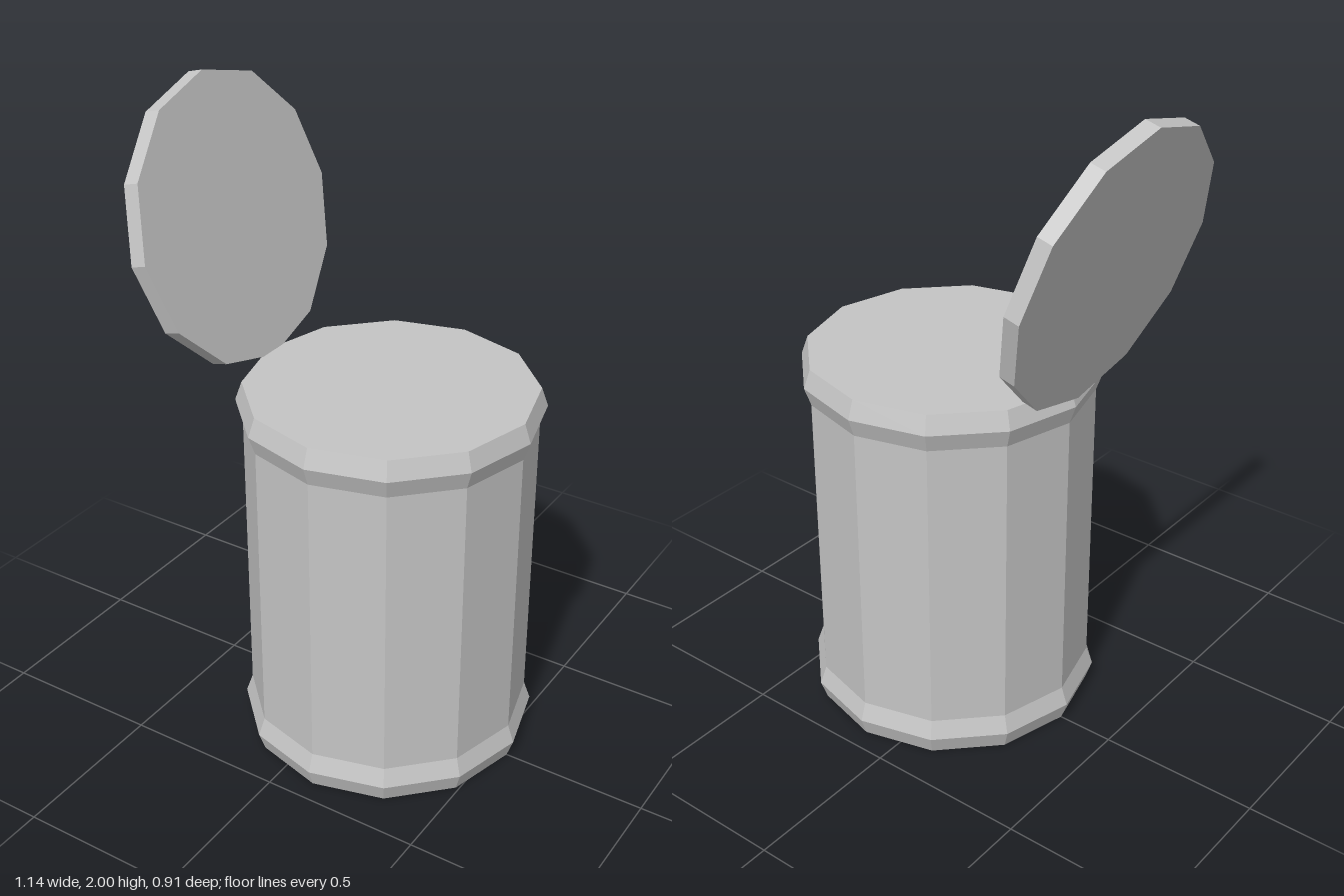
import * as THREE from 'three';

const SIDES = 12;
const BODY_R = 0.434, RIM_R = 0.454;
const HEIGHT = 1.175, RIM_H = 0.0575;
const CAN_X = 0.114;

export function createModel() {
  const model = new THREE.Group();
  model.name = 'openCan';
  const tin = new THREE.MeshStandardMaterial({ color: 0xc4c4c4, flatShading: true });
  tin.name = 'tinGrey';

  // Closed can: straight wall with a flared ridge at each end
  const profile = [
    [0, 0], [BODY_R, 0], [RIM_R, RIM_H], [BODY_R, RIM_H * 2],
    [BODY_R, HEIGHT - RIM_H * 2], [RIM_R, HEIGHT - RIM_H], [BODY_R, HEIGHT], [0, HEIGHT],
  ].map(([r, y]) => new THREE.Vector2(r, y));
  const can = new THREE.Mesh(new THREE.LatheGeometry(profile, SIDES), tin);
  can.name = 'canBody';
  can.position.x = CAN_X;
  model.add(can);

  // Lid standing open at the can's right edge, leaning back 15 degrees
  const thickness = 0.05;
  const lidGeometry = new THREE.CylinderGeometry(BODY_R, BODY_R, thickness, SIDES);
  lidGeometry.translate(0, -thickness / 2, 0);
  const lid = new THREE.Mesh(lidGeometry, tin);
  lid.name = 'openLid';
  lid.position.set(-0.41, 1.581, 0);
  lid.rotation.z = -THREE.MathUtils.degToRad(75);
  model.add(lid);

  return model;
}
